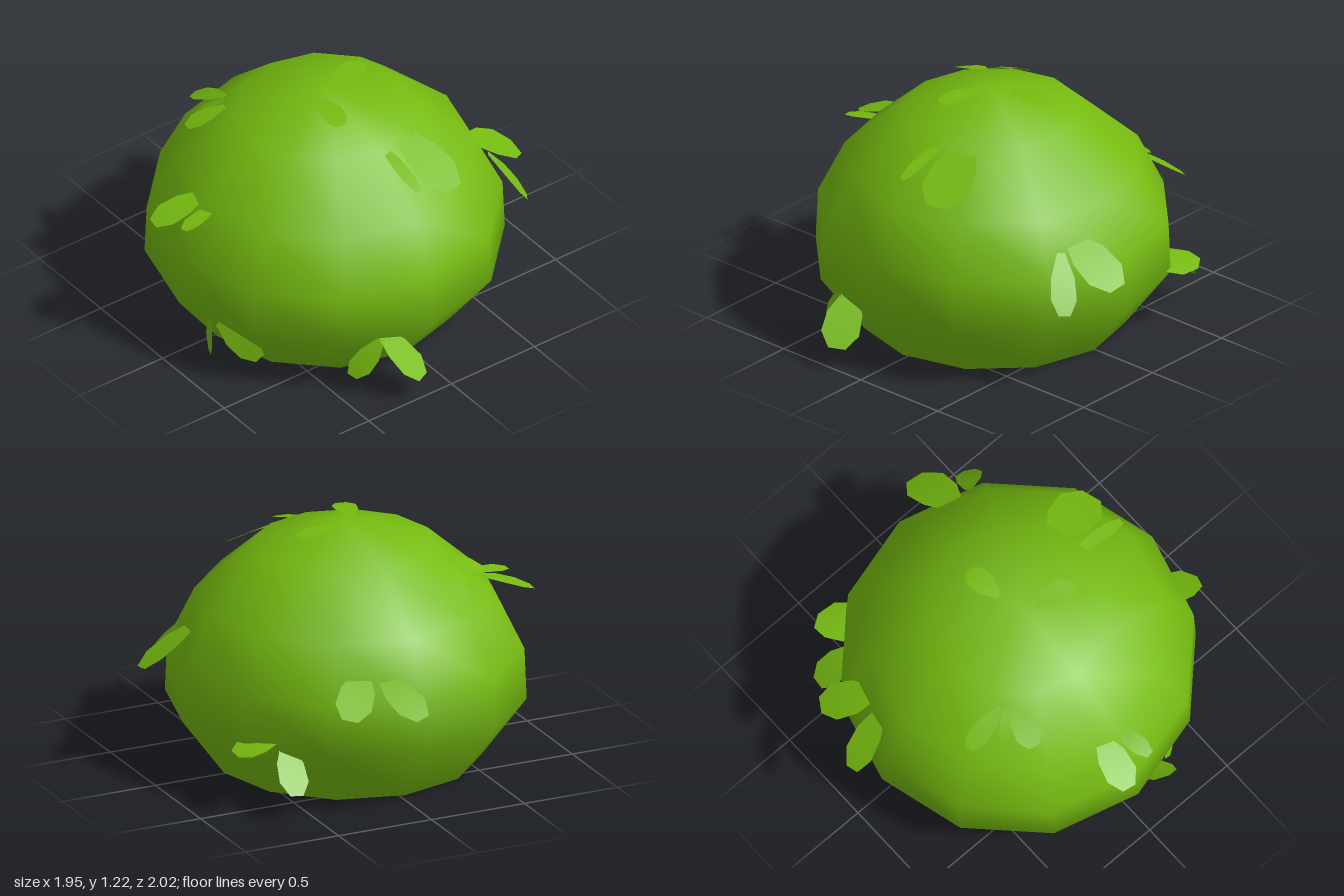
import * as THREE from 'three';
import { mergeVertices } from 'three/addons/utils/BufferGeometryUtils.js';

const CENTRE = new THREE.Vector3(-0.028, 0, 0.008);

// Blunt leaf blade: [position along the leaf, half-width factor, arch factor]
const BLADE = [[0, 0.3, 0], [0.4, 0.92, 1], [0.75, 1, 0.8], [1, 0.45, 0]];

// Directions some leaves face; the others follow the bush surface
const UP = [0, 1, 0];
const BACK_UP = [0, 0.7, -0.7];
const FRONT_UP = [0.3, 0.8, 0.5];
const OUT_RIGHT = [-0.85, 0.3, -0.5];

function surfaceDirection(p) {
  const out = p.clone().sub(new THREE.Vector3(CENTRE.x, 0.3, CENTRE.z)).normalize();
  out.y += 0.6;
  return out;
}

function leafGeometry(base, tip, width, facing) {
  const dir = tip.clone().sub(base);
  const out = facing ? new THREE.Vector3(...facing) : surfaceDirection(base);
  const side = dir.clone().cross(out).normalize();
  const up = side.clone().cross(dir).normalize();
  const pos = [], index = [];
  BLADE.forEach(([t, w, arch], i) => {
    for (const s of [-1, 1]) {
      const p = base.clone().addScaledVector(dir, t)
        .addScaledVector(side, s * w * width / 2)
        .addScaledVector(up, arch * 0.007);
      pos.push(p.x, p.y, p.z);
    }
    if (i > 0) {
      const a = 2 * i - 2;
      index.push(a, a + 1, a + 2, a + 1, a + 3, a + 2);
    }
  });
  const g = new THREE.BufferGeometry();
  g.setAttribute('position', new THREE.Float32BufferAttribute(pos, 3));
  g.setIndex(index);
  g.computeVertexNormals();
  return g;
}

// Leaf sprigs: each leaf is base, tip, width and, for some, a facing direction
const SPRIGS = {
  backSprig: [
    [[0.14, 0.68, -0.72], [0.045, 0.53, -1.0], 0.16],
    [[0.21, 0.7, -0.68], [0.39, 0.54, -0.9], 0.18]],
  backLeftLowSprig: [
    [[0.56, 0.33, -0.53], [0.595, 0.13, -0.735], 0.15, BACK_UP],
    [[0.6, 0.34, -0.51], [0.81, 0.3, -0.49], 0.22, UP]],
  leftSprig: [
    [[0.66, 0.72, 0.23], [0.97, 0.53, 0.22], 0.22],
    [[0.71, 0.68, 0.34], [0.85, 0.43, 0.47], 0.13]],
  frontLowSprig: [
    [[-0.27, 0.31, 0.77], [-0.165, 0.11, 0.99], 0.19, FRONT_UP],
    [[-0.29, 0.29, 0.82], [-0.43, 0.1, 0.77], 0.12]],
  frontRightLowSprig: [
    [[-0.83, 0.32, 0.17], [-0.865, 0.1, 0.2], 0.17, OUT_RIGHT],
    [[-0.84, 0.29, 0.24], [-0.71, 0.11, 0.4], 0.13]],
  rightSprig: [
    [[-0.7, 0.83, -0.06], [-0.975, 0.74, -0.11], 0.16],
    [[-0.7, 0.81, 0.03], [-0.925, 0.785, 0.07], 0.09]],
  backRightSprig: [
    [[-0.34, 1.06, -0.38], [-0.365, 0.95, -0.61], 0.1],
    [[-0.38, 1.05, -0.33], [-0.58, 0.99, -0.37], 0.13],
    [[-0.36, 1.06, -0.36], [-0.46, 0.965, -0.46], 0.06]],
  crownSprig: [
    [[0.06, 1.195, -0.04], [0.26, 1.182, -0.06], 0.12, UP],
    [[-0.085, 1.195, 0.06], [-0.13, 1.182, 0.275], 0.12, UP]],
  frontSprig: [
    [[0.14, 1.095, 0.37], [0.23, 0.905, 0.71], 0.24],
    [[0.015, 1.085, 0.39], [0.015, 0.985, 0.715], 0.07]],
};

export function createModel() {
  const model = new THREE.Group();
  model.name = 'bush';
  const green = new THREE.MeshStandardMaterial({ color: 0x76bb10, side: THREE.DoubleSide });
  green.name = 'leaf green';

  // Rounded twelve-sided bush body, hollow and open underneath
  const profile = [[0.655, 0], [0.878, 0.3], [0.867, 0.56], [0.735, 0.83], [0.44, 1.09], [0, 1.22]];
  const lathe = new THREE.LatheGeometry(profile.map(([r, y]) => new THREE.Vector2(r, y)), 12);
  lathe.deleteAttribute('normal');
  lathe.deleteAttribute('uv');
  const shell = mergeVertices(lathe, 1e-4);
  shell.computeVertexNormals();
  const body = new THREE.Mesh(shell, green);
  body.name = 'bushBody';
  body.position.copy(CENTRE);
  model.add(body);

  // Sprigs of leaves over the surface
  for (const [name, leaves] of Object.entries(SPRIGS)) {
    const sprig = new THREE.Group();
    sprig.name = name;
    for (const [base, tip, width, facing] of leaves) {
      const leaf = new THREE.Mesh(
        leafGeometry(new THREE.Vector3(...base), new THREE.Vector3(...tip), width, facing), green);
      leaf.name = 'leaf';
      sprig.add(leaf);
    }
    model.add(sprig);
  }
  return model;
}
